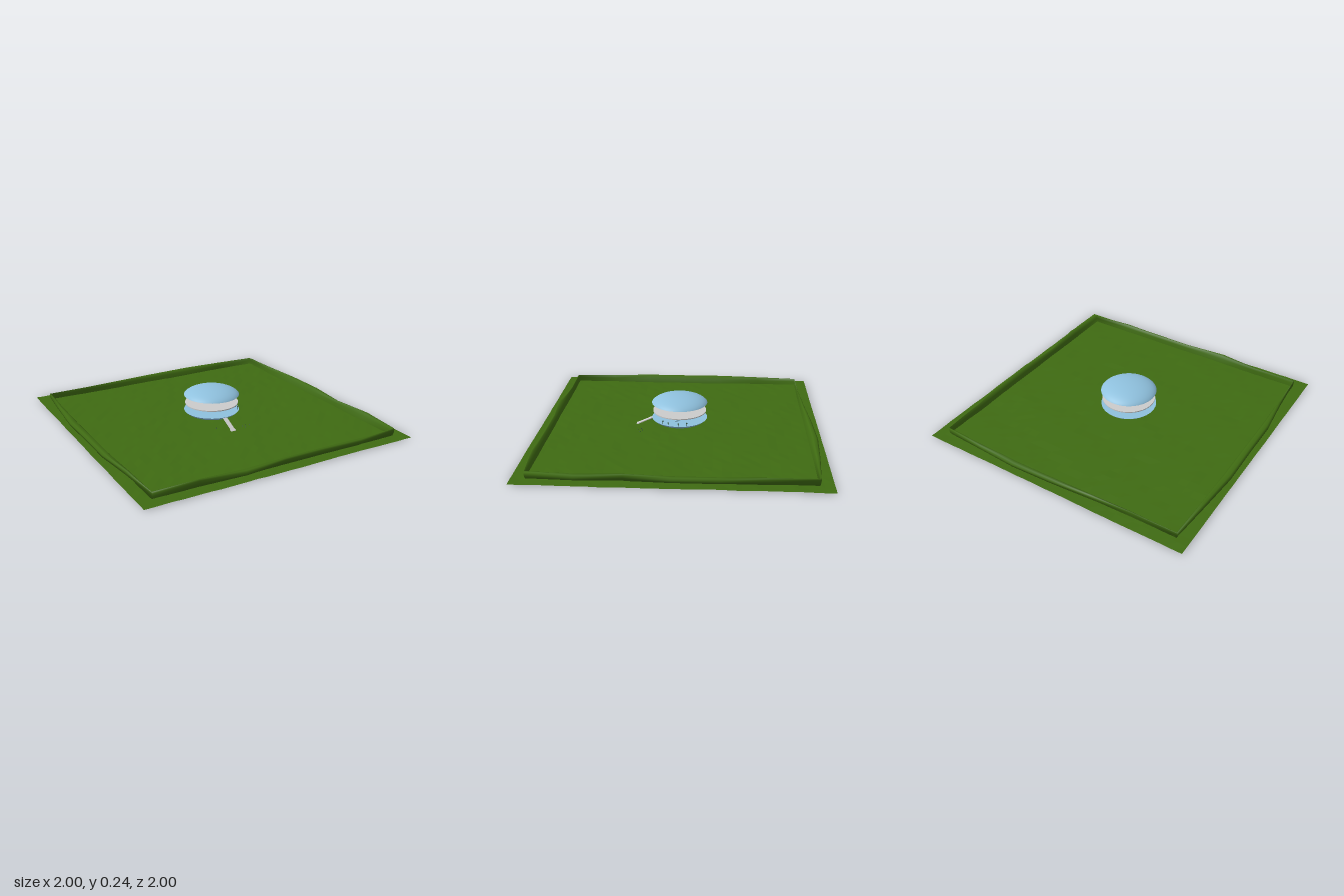
import * as THREE from 'three';

const GREEN = 0x3f6b12, BLUE = 0x8fc1de, GREY = 0xcccccc;

function mat(color, flat = false) {
  return new THREE.MeshStandardMaterial({ color, flatShading: flat, side: THREE.DoubleSide });
}

function add(parent, name, geometry, material, x = 0, y = 0, z = 0) {
  const m = new THREE.Mesh(geometry, material);
  m.name = name;
  m.position.set(x, y, z);
  parent.add(m);
  return m;
}

// Ground height: slow waves plus small seeded roughness, lifting a little towards the back
function groundHeight(x, z) {
  const h = Math.sin(x * 127.1 + z * 311.7) * 43758.5453;
  const waves = 0.001 * (Math.sin(9 * x + 4 * z) + Math.sin(5 * x - 13 * z));
  return Math.max(0, 0.004 + waves + 0.003 * (h - Math.floor(h) - 0.5) + 0.003 * Math.max(0, -z));
}

function makeLawn() {
  const lawn = new THREE.PlaneGeometry(2, 2, 32, 32);
  lawn.rotateX(-Math.PI / 2);
  const p = lawn.attributes.position;
  for (let i = 0; i < p.count; i++) p.setY(i, groundHeight(p.getX(i), p.getZ(i)));
  return lawn;
}

// Low hedge around the lawn, leaning outwards to a wavy outline
function makeHedge() {
  // How far each side reaches, at seven stations
  const s = [-0.91, -0.6, -0.3, 0, 0.3, 0.6, 0.91];
  const front = [0.92, 0.915, 0.965, 0.935, 0.935, 0.95, 0.92];
  const right = [0.915, 0.93, 0.96, 0.965, 0.925, 0.965, 0.925];
  const back = [0.915, 0.915, 0.935, 0.955, 0.965, 0.945, 0.915];
  const left = [0.92, 0.95, 0.975, 0.97, 0.97, 0.935, 0.92];
  const outer = [], inner = [];
  for (let i = 0; i < 6; i++) { outer.push([s[i], front[i]]); inner.push([s[i], 0.905]); }
  for (let i = 6; i > 0; i--) { outer.push([right[i], s[i]]); inner.push([0.905, s[i]]); }
  for (let i = 6; i > 0; i--) { outer.push([s[i], -back[i]]); inner.push([s[i], -0.905]); }
  for (let i = 0; i < 6; i++) { outer.push([-left[i], s[i]]); inner.push([-0.905, s[i]]); }

  // Section: outer foot, bulge, top, inner edge, inner foot
  const rings = [[0.25, 0.002], [0.95, 0.026], [1, 0.044], [0.8, 0.054], [0.4, 0.054], [0.15, 0.035], [0, 0.002]];
  const n = outer.length, pos = [], idx = [];
  for (const [t, y] of rings) {
    for (let i = 0; i < n; i++) {
      pos.push(inner[i][0] + (outer[i][0] - inner[i][0]) * t, y, inner[i][1] + (outer[i][1] - inner[i][1]) * t);
    }
  }
  for (let r = 0; r < rings.length - 1; r++) {
    for (let i = 0; i < n; i++) {
      const a = r * n + i, c = r * n + (i + 1) % n;
      idx.push(a, c, c + n, a, c + n, a + n);
    }
  }
  const hedge = new THREE.BufferGeometry();
  hedge.setAttribute('position', new THREE.Float32BufferAttribute(pos, 3));
  hedge.setIndex(idx);
  hedge.computeVertexNormals();
  return hedge;
}

function makePavilion() {
  const pavilion = new THREE.Group();
  pavilion.name = 'pavilion';
  const blue = mat(BLUE), grey = mat(GREY);

  // Roof and bowl: flattened spheres cut a little short of their widest level
  const cut = Math.PI * 75 / 180;
  const cap = new THREE.SphereGeometry(1, 40, 12, 0, Math.PI * 2, 0, cut);
  cap.scale(0.2 / Math.sin(cut), 0.074, 0.2 / Math.sin(cut));
  add(pavilion, 'domeRoof', cap, blue, 0, 0.162, 0);
  add(pavilion, 'bowlBase', cap.clone().rotateX(Math.PI), blue, 0, 0.087, 0);

  // Floor and middle deck
  add(pavilion, 'floor', new THREE.CircleGeometry(0.2, 40).rotateX(-Math.PI / 2), blue, 0, 0.068, 0);
  add(pavilion, 'middleDeck', new THREE.CylinderGeometry(0.192, 0.192, 0.007, 40), grey, 0, 0.12, 0);

  // Ramp from the floor up to the deck
  const ramp = add(pavilion, 'ramp', new THREE.BoxGeometry(0.042, 0.012, 0.1), blue, 0.093, 0.093, -0.018);
  ramp.rotation.x = 0.5;
  return pavilion;
}

function makeTree() {
  const tree = new THREE.Group();
  tree.name = 'tree';
  const bark = mat(0xa8683c), leaf = mat(0x7fdc74);
  const limb = (name, pts, r) => {
    const path = new THREE.CatmullRomCurve3(pts.map(q => new THREE.Vector3(...q)));
    add(tree, name, new THREE.TubeGeometry(path, 16, r, 7), bark);
  };
  limb('trunk', [[-0.002, 0.06, 0], [0.01, 0.085, 0.003], [0.04, 0.1, 0], [0.03, 0.125, -0.003], [0, 0.145, 0], [-0.02, 0.175, 0]], 0.009);
  limb('trunkBase', [[0.002, 0.06, 0], [0.008, 0.078, 0.002], [0.02, 0.092, 0.002]], 0.014);
  limb('root', [[0.01, 0.085, 0], [0.04, 0.088, 0], [0.068, 0.072, 0.005]], 0.006);
  limb('leftBranch', [[0, 0.145, 0], [-0.04, 0.147, 0.01], [-0.08, 0.16, 0.01]], 0.005);
  limb('rightBranch', [[0.01, 0.138, 0], [0.03, 0.148, -0.01], [0.035, 0.165, -0.015]], 0.005);
  const clumps = [[-0.085, 0.166, 0.01, 0.03], [-0.05, 0.18, -0.015, 0.03], [-0.01, 0.182, 0.015, 0.032],
    [0.03, 0.167, -0.015, 0.03], [-0.03, 0.155, 0.02, 0.022]];
  for (const [x, y, z, r] of clumps) {
    add(tree, 'foliage', new THREE.SphereGeometry(r, 14, 9), leaf, x, y, z).scale.y = 0.5;
  }
  return tree;
}

// Small plants on the pavilion floor and sprigs in the lawn
function makePlants() {
  const plants = new THREE.Group();
  plants.name = 'plants';
  const dark = mat(0x35543a, true);
  const spots = [[0.155, 0.11, 0.022], [0.165, 0.07, 0.014], [0.185, 0, 0.016], [0.175, -0.06, 0.018]];
  for (const [x, z, h] of spots) {
    add(plants, 'plantStem', new THREE.CylinderGeometry(0.0015, 0.002, h, 5), dark, x, 0.068 + h / 2, z);
    add(plants, 'plantTuft', new THREE.IcosahedronGeometry(0.006, 0), dark, x, 0.068 + h, z);
  }
  const sprigs = [[-0.085, 0.215], [0.1, 0.27], [0.125, 0.26], [0.11, 0.295], [0.155, 0.275]];
  for (const [x, z] of sprigs) {
    add(plants, 'grassSprig', new THREE.ConeGeometry(0.006, 0.01, 4), dark, x, 0.008, z);
  }
  return plants;
}

export function createModel() {
  const model = new THREE.Group();
  model.name = 'gardenPavilion';
  add(model, 'lawn', makeLawn(), mat(GREEN, true));
  add(model, 'hedge', makeHedge(), mat(GREEN));
  model.add(makePavilion(), makeTree(), makePlants());

  // Entrance ramp sloping from the floor down into the lawn, with a slightly wider end
  const path = new THREE.Group();
  path.name = 'entrancePath';
  path.position.set(0, 0.034, 0.25);
  path.rotation.x = Math.atan2(0.056, 0.12);
  add(path, 'pathDeck', new THREE.BoxGeometry(0.03, 0.006, 0.135), mat(GREY));
  add(path, 'pathEnd', new THREE.BoxGeometry(0.038, 0.006, 0.02), mat(GREY), 0, 0, 0.06);
  model.add(path);
  return model;
}
